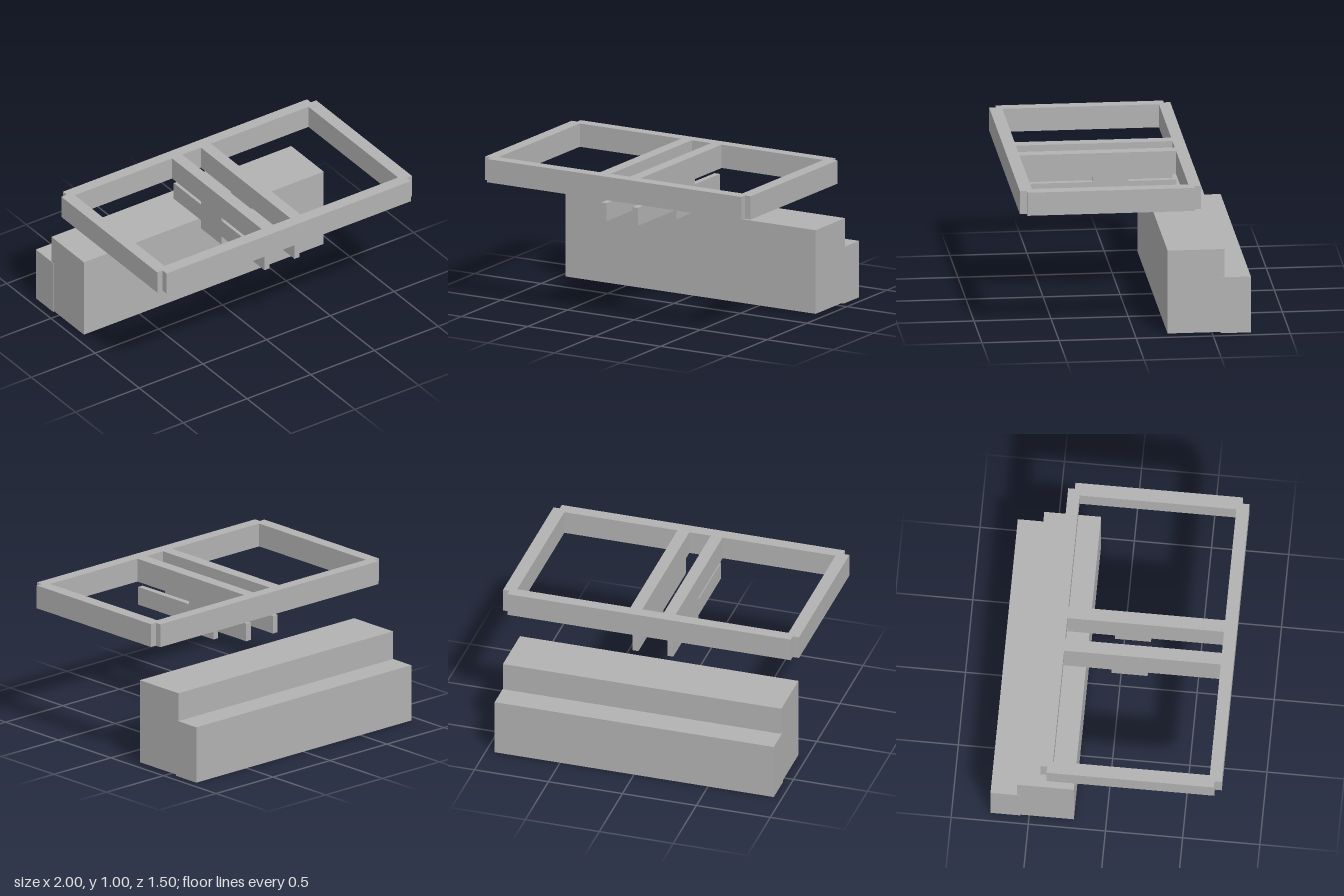
import * as THREE from 'three';

const grey = new THREE.MeshStandardMaterial({ color: 0xb2b2b2 });
grey.name = 'plain grey';

// Box given by its min and max on each axis
function box(name, [x0, x1], [y0, y1], [z0, z1]) {
  const mesh = new THREE.Mesh(new THREE.BoxGeometry(x1 - x0, y1 - y0, z1 - z0), grey);
  mesh.position.set((x0 + x1) / 2, (y0 + y1) / 2, (z0 + z1) / 2);
  mesh.name = name;
  return mesh;
}

const outline = (pts) => pts.map(([a, b]) => new THREE.Vector2(a, b));

// Flat rectangular frame with notched corners and three openings
function topFrame() {
  const X = 1, x = 0.958, Z0 = -0.425, z0 = -0.382, z1 = 0.705, Z1 = 0.75;
  const shape = new THREE.Shape(outline([
    [-x, Z0], [x, Z0], [x, z0], [X, z0], [X, z1], [x, z1],
    [x, Z1], [-x, Z1], [-x, z1], [-X, z1], [-X, z0], [-x, z0],
  ]));
  for (const [a, b] of [[-0.918, -0.155], [-0.075, 0.07], [0.15, 0.915]]) {
    shape.holes.push(new THREE.Path(outline([[a, -0.347], [a, 0.668], [b, 0.668], [b, -0.347]])));
  }
  const geometry = new THREE.ExtrudeGeometry(shape, { depth: 0.155, bevelEnabled: false });
  geometry.rotateX(Math.PI / 2);
  const mesh = new THREE.Mesh(geometry, grey);
  mesh.position.y = 1;
  mesh.name = 'topFrame';
  return mesh;
}

// Cross-shaped plate hanging under a middle beam
function hangerPlate(name, x) {
  const shape = new THREE.Shape(outline([
    [-0.35, 0.683], [-0.04, 0.683], [-0.04, 0.62], [0.193, 0.62], [0.193, 0.683], [0.678, 0.683],
    [0.678, 0.803], [0.193, 0.803], [0.193, 0.845], [-0.04, 0.845], [-0.04, 0.803], [-0.35, 0.803],
  ]));
  const geometry = new THREE.ExtrudeGeometry(shape, { depth: 0.04, bevelEnabled: false });
  geometry.rotateY(-Math.PI / 2); // shape x becomes z, depth runs towards -x
  const mesh = new THREE.Mesh(geometry, grey);
  mesh.position.x = x + 0.02;
  mesh.name = name;
  return mesh;
}

export function createModel() {
  const model = new THREE.Group();
  model.name = 'model';
  model.add(
    topFrame(),
    hangerPlate('leftHanger', 0.115),
    hangerPlate('rightHanger', -0.12),
    // Stepped block below and behind the frame
    box('mainBlock', [-0.942, 0.94], [0.008, 0.565], [-0.578, -0.21]),
    box('rearStep', [-0.945, 0.942], [0, 0.376], [-0.75, -0.555]),
  );
  return model;
}
